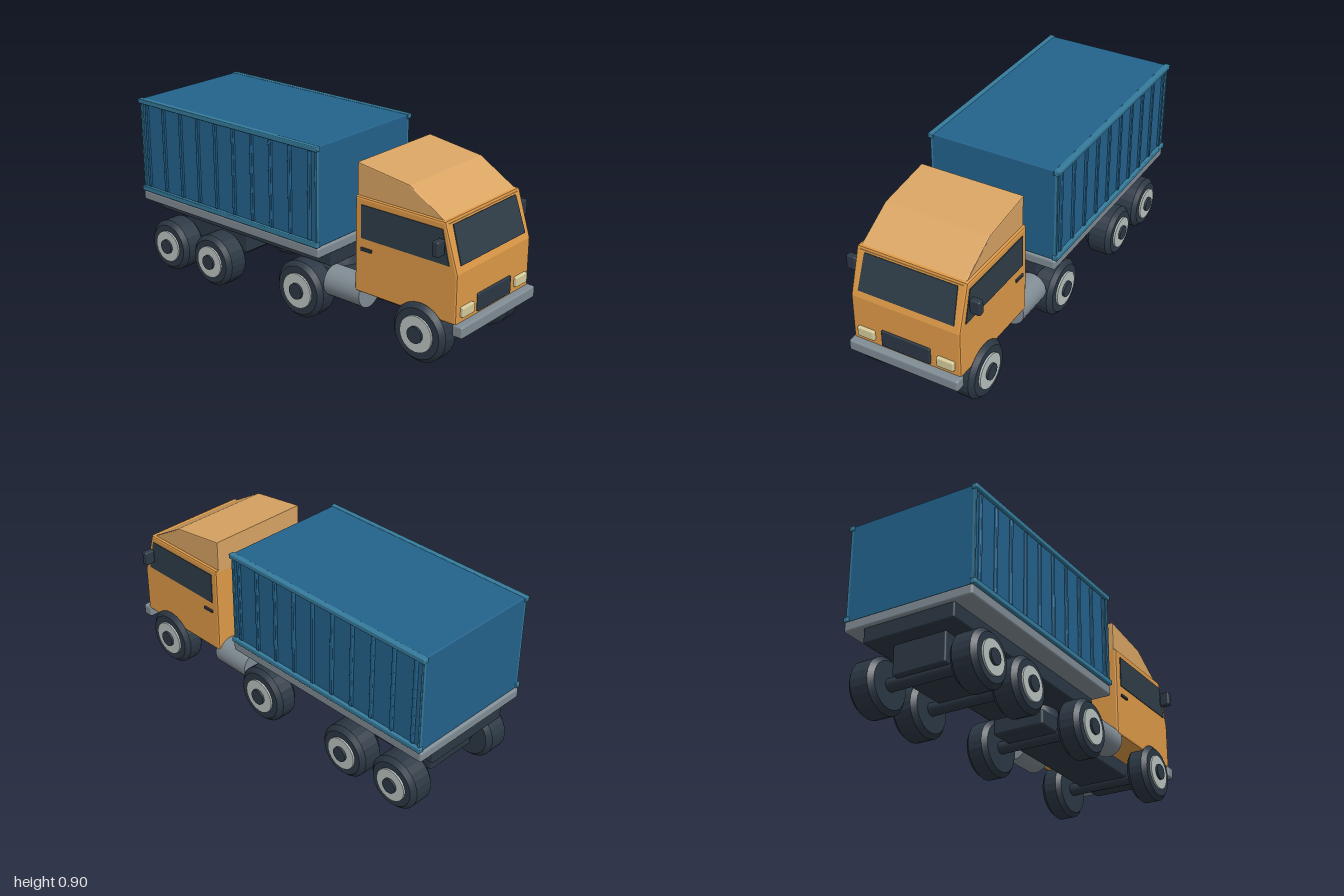
import * as THREE from 'three';
import { RoundedBoxGeometry } from 'three/addons/geometries/RoundedBoxGeometry.js';
import { toCreasedNormals } from 'three/addons/utils/BufferGeometryUtils.js';

function paint(name, color) {
  const m = new THREE.MeshStandardMaterial({ color });
  m.name = name;
  return m;
}

export function createModel() {
  const truck = new THREE.Group();
  truck.name = 'truck';
  const orange = paint('cab orange', 0xdf9a48);
  const tan = paint('fairing tan', 0xd9a463);
  const blue = paint('container blue', 0x23628c);
  const lightBlue = paint('rail blue', 0x357b9b);
  const grey = paint('metal grey', 0x808c94);
  const dark = paint('chassis dark', 0x2c3844);
  const glass = paint('window glass', 0x2f3d48);
  const rimGrey = paint('rim grey', 0xb9c3c0);
  const cream = paint('headlight cream', 0xd8cd9c);

  function add(name, geometry, material, parent = truck) {
    const mesh = new THREE.Mesh(geometry, material);
    mesh.name = name;
    parent.add(mesh);
    return mesh;
  }
  // Softly rounded box given by its limits on each axis
  function box(name, material, [x0, x1], [y0, y1], [z0, z1], r = 0.006) {
    const g = new RoundedBoxGeometry(x1 - x0, y1 - y0, z1 - z0, 2, r);
    g.translate((x0 + x1) / 2, (y0 + y1) / 2, (z0 + z1) / 2);
    return add(name, g, material);
  }
  // The same box on both sides of the truck
  function pair(name, material, xs, ys, [z0, z1], r) {
    box(name + 'Left', material, xs, ys, [-z1, -z0], r);
    box(name + 'Right', material, xs, ys, [z0, z1], r);
  }
  // Side profile extruded across the truck, with small bevels
  function profile(name, material, points, halfWidth, bevel) {
    const shape = new THREE.Shape(points.map(([x, y]) => new THREE.Vector2(x, y)));
    const g = new THREE.ExtrudeGeometry(shape, {
      depth: 2 * (halfWidth - bevel), bevelEnabled: true, bevelThickness: bevel,
      bevelSize: bevel, bevelOffset: -bevel, bevelSegments: 2,
    });
    g.translate(0, 0, bevel - halfWidth);
    return add(name, g, material);
  }

  // Container with rails, wall ribs and corner posts
  box('containerBody', blue, [-0.985, 0.205], [0.41, 0.902], [-0.333, 0.333]);
  pair('containerTopRail', lightBlue, [-0.992, 0.212], [0.88, 0.904], [0.322, 0.35], 0.004);
  pair('containerBottomRail', lightBlue, [-0.992, 0.212], [0.412, 0.437], [0.322, 0.35], 0.004);
  for (let i = 0; i < 10; i++) {
    const x = -0.94 + i * 0.122;
    pair('containerRib' + i, blue, [x - 0.009, x + 0.009], [0.44, 0.872], [0.325, 0.344], 0.004);
  }
  for (const x of [-0.979, 0.199]) {
    pair('cornerPost', lightBlue, [x - 0.006, x + 0.006], [0.43, 0.885], [0.325, 0.341], 0.003);
  }

  // Trailer deck, frame and bogie
  box('trailerDeck', grey, [-0.996, 0.214], [0.357, 0.411], [-0.34, 0.34], 0.012);
  box('trailerFrame', dark, [-0.98, 0.205], [0.285, 0.365], [-0.24, 0.24], 0.008);
  box('bogie', dark, [-0.895, -0.45], [0.14, 0.295], [-0.14, 0.14], 0.008);

  // Tractor frame, coupling and fuel tanks
  box('tractorFrame', dark, [-0.1, 0.93], [0.143, 0.225], [-0.138, 0.138], 0.012);
  const coupling = add('coupling', new THREE.CylinderGeometry(0.11, 0.13, 0.075, 20), dark);
  coupling.position.set(0.06, 0.255, 0);
  for (const s of [-1, 1]) {
    const tank = add('fuelTank', new THREE.CylinderGeometry(0.077, 0.077, 0.215, 24), grey);
    tank.rotation.z = Math.PI / 2;
    tank.position.set(0.308, 0.21, s * 0.212);
  }

  // Cab and roof fairing
  profile('cabBody', orange,
    [[0.388, 0.235], [0.957, 0.235], [0.957, 0.475], [0.885, 0.702], [0.388, 0.702]], 0.285, 0.01);
  profile('roofFairing', tan,
    [[0.388, 0.69], [0.89, 0.69], [0.68, 0.816], [0.388, 0.856]], 0.27, 0.005);

  // Windscreen lies on the sloping front
  const slopeX = (y) => 0.957 - (y - 0.475) * 0.072 / 0.227;
  const lean = Math.atan2(0.072, 0.227);
  const scaleY = 1 / Math.cos(lean);
  const screenShape = new THREE.Shape([[-0.25, 0], [0.25, 0], [0.241, 0.175], [-0.241, 0.175]]
    .map(([z, y]) => new THREE.Vector2(z, y * scaleY)));
  const screen = add('windscreen', new THREE.ExtrudeGeometry(screenShape, { depth: 0.008, bevelEnabled: false }), glass);
  screen.rotation.order = 'YXZ';
  screen.rotation.set(-lean, Math.PI / 2, 0);
  screen.position.set(slopeX(0.505) - 0.004, 0.505, 0);

  // Side windows
  const sideShape = new THREE.Shape([[0.425, 0.507], [0.913, 0.507], [0.873, 0.668], [0.425, 0.668]]
    .map(([x, y]) => new THREE.Vector2(x, y)));
  for (const z of [0.281, -0.289]) {
    const g = new THREE.ExtrudeGeometry(sideShape, { depth: 0.008, bevelEnabled: false });
    add('sideWindow', g, glass).position.z = z;
  }

  // Handles, mirrors, lights, grille and bumper
  pair('doorHandle', dark, [0.425, 0.487], [0.448, 0.463], [0.28, 0.294], 0.003);
  pair('mirrorArm', dark, [0.87, 0.885], [0.59, 0.605], [0.27, 0.31], 0.003);
  pair('mirror', dark, [0.86, 0.895], [0.557, 0.63], [0.294, 0.347], 0.008);
  pair('headlight', cream, [0.945, 0.974], [0.267, 0.316], [0.165, 0.254], 0.006);
  box('grille', dark, [0.945, 0.967], [0.251, 0.338], [-0.129, 0.129], 0.006);
  box('bumper', grey, [0.94, 0.996], [0.184, 0.242], [-0.29, 0.29], 0.01);

  // Wheels: turned tyre, pale rim and dark hub, facing +z
  function wheel(name, x, r, inner, outer, side) {
    const group = new THREE.Group();
    group.name = name;
    const width = outer - inner, b = 0.022;
    const points = [[0, 0], [r - b, 0], [r, b], [r, width - b], [r - b, width], [0, width]]
      .map(([px, py]) => new THREE.Vector2(px, py));
    const tyre = new THREE.LatheGeometry(points, 24);
    add('tyre', toCreasedNormals(tyre, 0.2).rotateX(Math.PI / 2), dark, group);
    const disc = (part, radius, depth, mat) => {
      const g = new THREE.CylinderGeometry(radius, radius, depth, 24);
      g.rotateX(Math.PI / 2).translate(0, 0, width + depth / 2 - 0.01);
      add(part, g, mat, group);
    };
    disc('rim', r * 0.61, 0.019, rimGrey);
    disc('hub', r * 0.28, 0.03, dark);
    group.position.set(x, r, side * inner);
    if (side < 0) group.rotation.y = Math.PI;
    truck.add(group);
  }
  const axles = [
    ['frontWheel', 0.765, 0.145, 0.195, 0.308],
    ['driveWheel', 0.06, 0.145, 0.195, 0.315],
    ['trailerWheel', -0.52, 0.135, 0.197, 0.334],
    ['trailerWheel', -0.83, 0.135, 0.197, 0.334],
  ];
  for (const [name, x, r, inner, outer] of axles) {
    for (const side of [-1, 1]) wheel(name, x, r, inner, outer, side);
    const axle = add('axle', new THREE.CylinderGeometry(0.032, 0.032, 0.44, 16), dark);
    axle.rotation.x = Math.PI / 2;
    axle.position.set(x, r, 0);
  }
  return truck;
}
